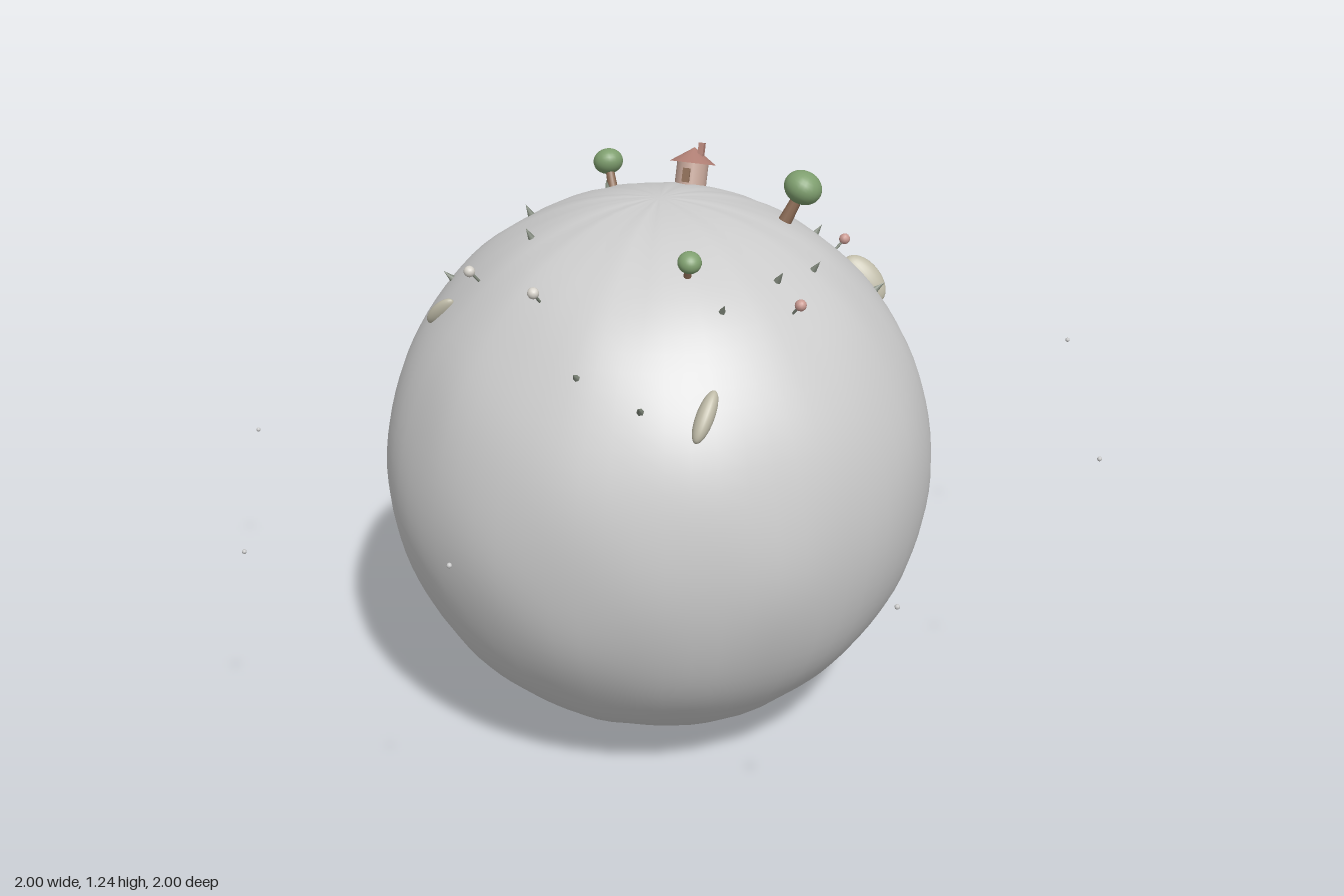
import * as THREE from 'three';
import { mergeVertices } from 'three/addons/utils/BufferGeometryUtils.js';

const CENTER = new THREE.Vector3(0.045, 0.597, 0);
const RADIUS = 0.592;
const UP = new THREE.Vector3(0, 1, 0);

const material = (color) => new THREE.MeshStandardMaterial({ color });
const MAT = {
  ground: material(0xcccccc),
  leaf: material(0x7f9f6f),
  bark: material(0x8b6b55),
  wall: material(0xc4a598),
  roof: material(0xb07f74),
  rock: material(0xbfbba8),
  grass: material(0x7d8578),
  pale: material(0xd8d4cc),
  pink: material(0xc99a92),
};

function add(parent, name, geometry, mat, x = 0, y = 0, z = 0) {
  const mesh = new THREE.Mesh(geometry, mat);
  mesh.name = name;
  mesh.position.set(x, y, z);
  parent.add(mesh);
  return mesh;
}

// Group standing on the upper half of the planet at (x, z); local y points outward
function standing(parent, name, x, z) {
  const dx = x - CENTER.x;
  const dz = z - CENTER.z;
  const normal = new THREE.Vector3(dx, Math.sqrt(RADIUS * RADIUS - dx * dx - dz * dz), dz).normalize();
  const group = new THREE.Group();
  group.name = name;
  group.position.copy(CENTER).addScaledVector(normal, RADIUS);
  group.quaternion.setFromUnitVectors(UP, normal);
  parent.add(group);
  return { group, normal };
}

// Gently uneven globe with fine ridges running out from the poles
function planetGeometry() {
  let geo = new THREE.SphereGeometry(RADIUS, 64, 48);
  geo.deleteAttribute('uv');
  geo.deleteAttribute('normal');
  geo = mergeVertices(geo, 1e-5);
  const pos = geo.attributes.position;
  const v = new THREE.Vector3();
  for (let i = 0; i < pos.count; i++) {
    v.fromBufferAttribute(pos, i).normalize();
    const phi = Math.atan2(v.z, v.x);
    const s = Math.hypot(v.x, v.z);
    const waves = Math.sin(9 * v.x + 1) * Math.sin(8 * v.y + 2) * Math.sin(10 * v.z + 0.5);
    const ridges = s * Math.exp(-3 * s) * (Math.sin(13 * phi) + Math.sin(21 * phi + 1));
    v.multiplyScalar(RADIUS * (1 + 0.006 * waves + 0.012 * ridges));
    pos.setXYZ(i, v.x, v.y, v.z);
  }
  geo.computeVertexNormals();
  return geo;
}

// Tree: height is from the ground to the middle of the crown
function tree(parent, x, z, height, r) {
  const { group } = standing(parent, 'tree', x, z);
  add(group, 'trunk', new THREE.CylinderGeometry(r * 0.25, r * 0.38, height + 0.02, 10), MAT.bark, 0, height / 2 - 0.01, 0);
  add(group, 'crown', new THREE.SphereGeometry(r, 24, 16), MAT.leaf, 0, height, 0).scale.y = 0.85;
}

// Round cottage with a cone roof
function house(parent, x, z) {
  const { group } = standing(parent, 'house', x, z);
  add(group, 'walls', new THREE.CylinderGeometry(0.034, 0.034, 0.06, 16), MAT.wall, 0, 0.02, 0);
  add(group, 'roof', new THREE.ConeGeometry(0.05, 0.034, 16), MAT.roof, 0, 0.062, 0);
  add(group, 'chimney', new THREE.BoxGeometry(0.012, 0.03, 0.012), MAT.roof, 0.018, 0.075, 0.006);
  add(group, 'door', new THREE.BoxGeometry(0.016, 0.03, 0.006), MAT.bark, 0, 0.018, 0.034);
}

// Half-buried flattened boulder, leaning clockwise from north
function boulder(parent, x, z, length, out, thin) {
  const { group, normal } = standing(parent, 'boulder', x, z);
  const north = UP.clone().addScaledVector(normal, -normal.y).normalize();
  const east = new THREE.Vector3().crossVectors(north, normal);
  const lean = Math.PI / 7;
  const along = north.multiplyScalar(Math.cos(lean)).addScaledVector(east, Math.sin(lean));
  const side = new THREE.Vector3().crossVectors(along, normal);
  group.quaternion.setFromRotationMatrix(new THREE.Matrix4().makeBasis(side, along, normal));
  add(group, 'stone', new THREE.SphereGeometry(1, 24, 16), MAT.rock).scale.set(thin, length, out);
}

export function createModel() {
  const model = new THREE.Group();
  model.name = 'tinyPlanet';
  add(model, 'planet', planetGeometry(), MAT.ground, CENTER.x, CENTER.y, CENTER.z);

  tree(model, 0.278, -0.123, 0.08, 0.041);
  tree(model, -0.16, -0.241, 0.072, 0.033);
  tree(model, 0.195, 0.235, 0.04, 0.024);
  house(model, 0.041, -0.19);

  boulder(model, -0.28, -0.38, 0.08, 0.042, 0.028);
  boulder(model, 0.4, -0.325, 0.062, 0.038, 0.022);
  boulder(model, -0.35, 0.242, 0.043, 0.018, 0.012);
  boulder(model, 0.305, 0.425, 0.055, 0.022, 0.018);

  // Grass tufts
  const tufts = [
    [-0.155, -0.44], [-0.16, -0.21], [0.055, -0.4], [0.22, -0.44], [0.23, -0.43],
    [0.29, -0.31], [0.45, -0.24], [0.385, 0.015], [0.345, 0.125], [0.28, 0.27],
    [0.19, 0.47], [0.055, 0.46], [-0.385, 0.115], [-0.175, 0.16], [-0.26, -0.02],
  ];
  for (const [x, z] of tufts) {
    const { group } = standing(model, 'grassTuft', x, z);
    add(group, 'blade', new THREE.ConeGeometry(0.009, 0.03, 6), MAT.grass, 0, 0.01, 0);
  }

  // Flowers
  const flowers = [
    [-0.193, -0.36, MAT.pale], [-0.075, 0.342, MAT.pale], [-0.26, 0.238, MAT.pale],
    [0.393, 0.167, MAT.pink], [0.34, -0.302, MAT.pink],
  ];
  for (const [x, z, mat] of flowers) {
    const { group } = standing(model, 'flower', x, z);
    add(group, 'stem', new THREE.CylinderGeometry(0.003, 0.003, 0.034, 6), MAT.grass, 0, 0.012, 0);
    add(group, 'blossom', new THREE.SphereGeometry(0.012, 12, 8), mat, 0, 0.029, 0);
  }

  // Stars floating around the planet
  const stars = [
    [-0.996, 0.465, -0.01], [-0.61, 0.73, -0.66], [-0.61, 0.55, 0.65], [0.77, 0.765, 0.72],
    [0.79, 0.69, -0.755], [0.99, 0.755, -0.01], [0.045, 0.835, 0.99], [0.045, 0.485, -0.996],
  ];
  for (const [x, y, z] of stars) add(model, 'star', new THREE.SphereGeometry(0.005, 8, 6), MAT.ground, x, y, z);

  return model;
}
